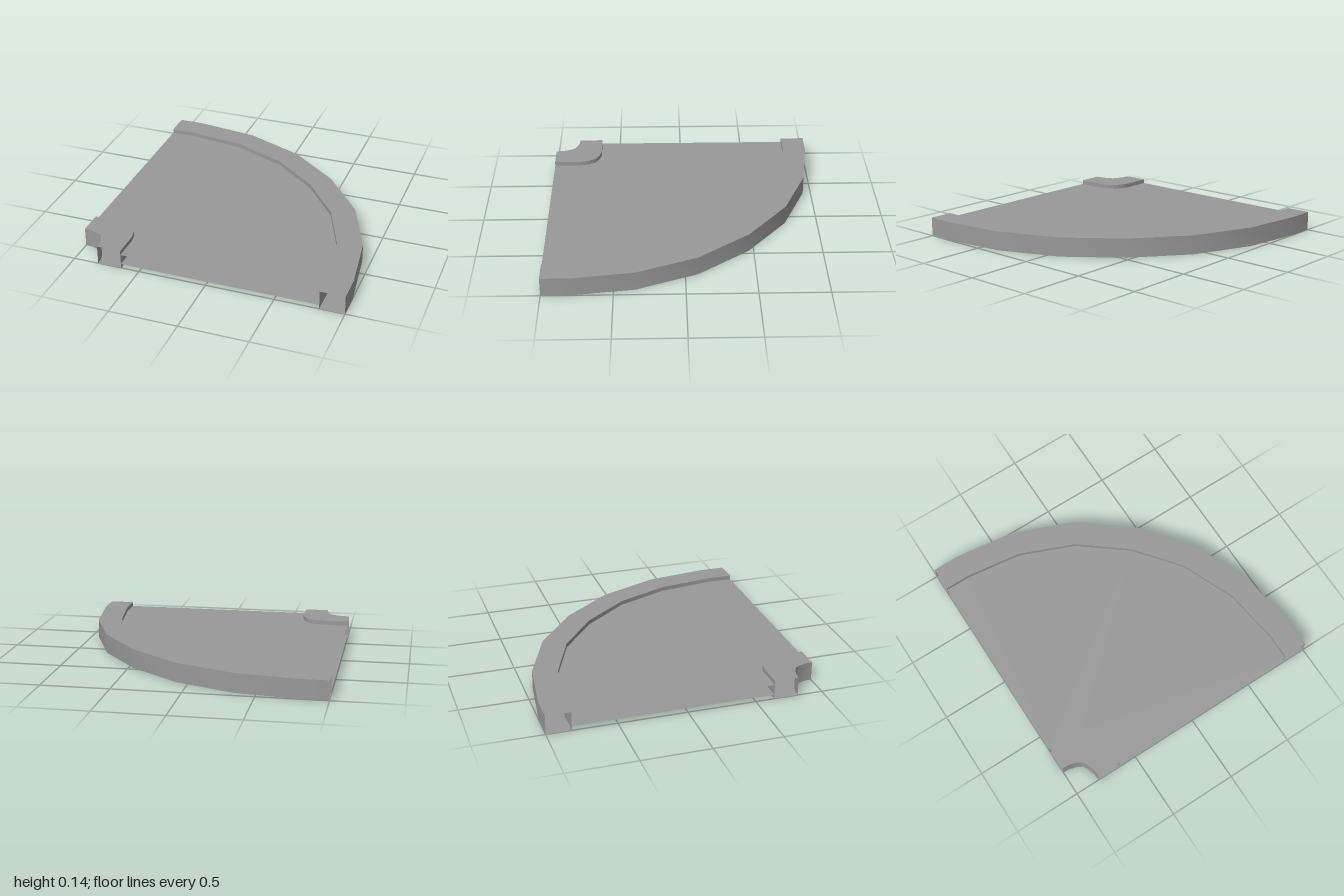
import * as THREE from 'three';

// Curves in plan as [x, z], each running from the left edge round to the front edge
const outerRim = [[-1, -1], [-0.8, -1], [-0.35, -0.94], [0.09, -0.76], [0.465, -0.465],
  [0.76, -0.09], [0.94, 0.35], [1, 0.8], [1, 1]];
const outerInside = [[-1, -0.82], [-0.81, -0.82], [-0.4, -0.765], [0, -0.6], [0.335, -0.335],
  [0.6, 0], [0.765, 0.4], [0.82, 0.81], [0.82, 1]];
const innerOutside = [[-1, 0.637], [-0.8, 0.637], [-0.74, 0.65], [-0.683, 0.683],
  [-0.65, 0.74], [-0.637, 0.8], [-0.637, 1]];
const innerRim = [[-1, 0.815], [-0.945, 0.82], [-0.89, 0.838], [-0.857, 0.857],
  [-0.838, 0.89], [-0.82, 0.945], [-0.815, 1]];

const HEIGHT = 0.14, DECK_TOP = 0.108, DECK_BOTTOM = 0.032;

// Flat sheet between two curves, facing up or down
function sheet(a, b, y, up) {
  const points = [...a, ...[...b].reverse()].map(([x, z]) => new THREE.Vector2(x, up ? -z : z));
  const geometry = new THREE.ShapeGeometry(new THREE.Shape(points));
  geometry.rotateX(up ? -Math.PI / 2 : Math.PI / 2);
  geometry.translate(0, y, 0);
  return geometry;
}

// Smooth upright wall along a curve, facing away from or towards the corner
function wall(path, outward) {
  const positions = [], index = [];
  path.forEach(([x, z], i) => {
    positions.push(x, 0, z, x, HEIGHT, z);
    if (i === path.length - 1) return;
    const a = 2 * i, b = a + 1, c = a + 3, d = a + 2;
    index.push(...(outward ? [a, b, c, a, c, d] : [a, c, b, a, d, c]));
  });
  const geometry = new THREE.BufferGeometry();
  geometry.setAttribute('position', new THREE.Float32BufferAttribute(positions, 3));
  geometry.setIndex(index);
  geometry.computeVertexNormals();
  return geometry;
}

export function createModel() {
  const model = new THREE.Group();
  model.name = 'curvedCornerTile';
  const grey = new THREE.MeshStandardMaterial({ color: 0x999999, side: THREE.DoubleSide });
  grey.name = 'grey';

  const add = (parent, name, geometry) => {
    const mesh = new THREE.Mesh(geometry, grey);
    mesh.name = name;
    parent.add(mesh);
  };

  // Hollow kerbs, open at both ends
  const kerbs = [['outerKerb', outerRim, outerInside], ['innerKerb', innerOutside, innerRim]];
  for (const [name, far, near] of kerbs) {
    const kerb = new THREE.Group();
    kerb.name = name;
    add(kerb, name + 'Top', sheet(far, near, HEIGHT, true));
    add(kerb, name + 'Bottom', sheet(far, near, 0, false));
    add(kerb, name + 'FarWall', wall(far, true));
    add(kerb, name + 'NearWall', wall(near, false));
    model.add(kerb);
  }

  // Recessed deck between the kerbs, open along its straight edges
  add(model, 'deckTop', sheet(outerInside, innerOutside, DECK_TOP, true));
  add(model, 'deckBottom', sheet(outerInside, innerOutside, DECK_BOTTOM, false));
  return model;
}
